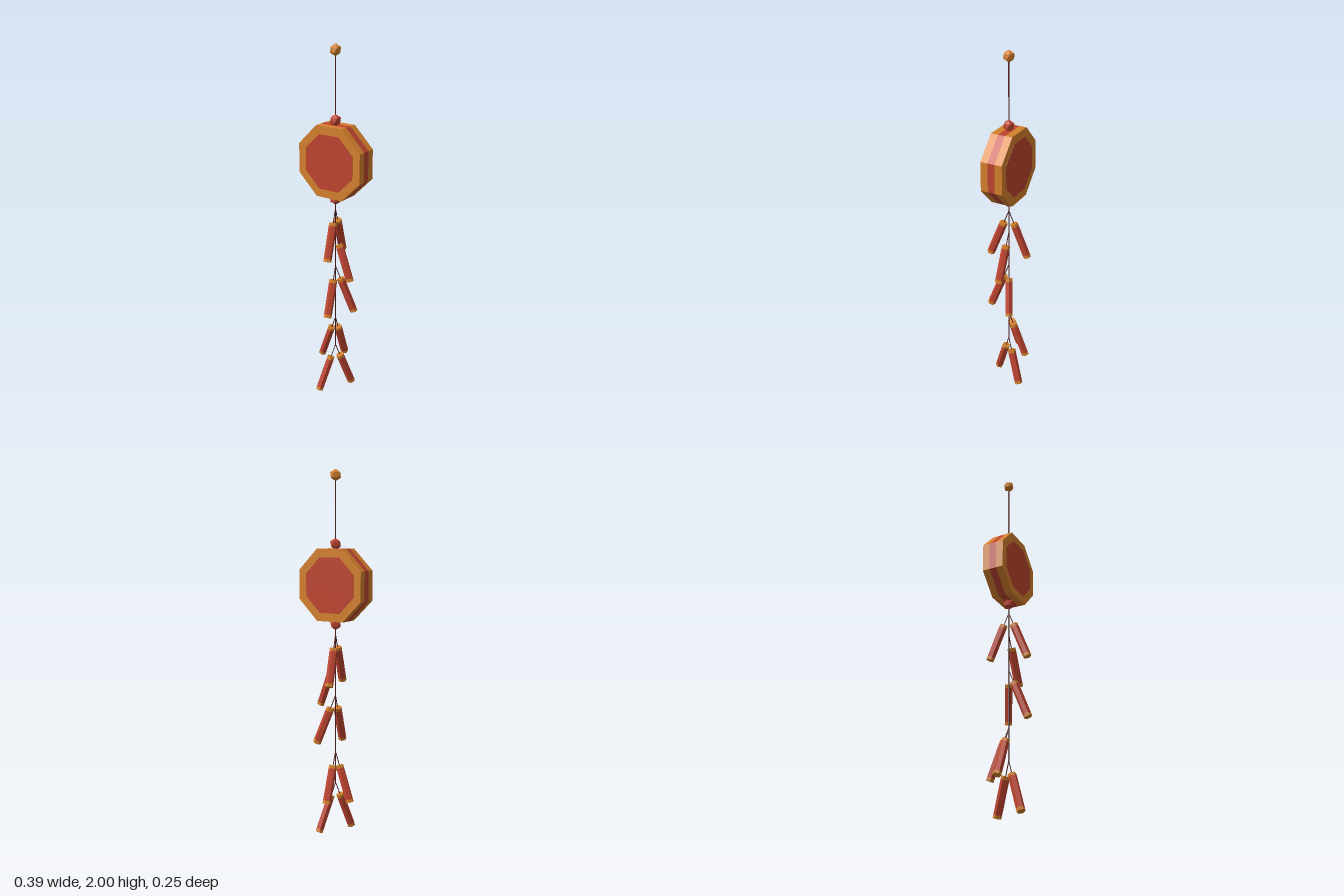
import * as THREE from 'three';

export function createModel() {
  const mat = (name, color) => {
    const m = new THREE.MeshStandardMaterial({ color, flatShading: true });
    m.name = name;
    return m;
  };
  const red = mat('red paper', 0xbe4430);
  const orange = mat('orange gold', 0xd4802d);
  const cord = mat('dark cord', 0x4e1c1c);

  const model = new THREE.Group();
  model.name = 'firecrackerGarland';
  const add = (parent, name, geometry, material, x = 0, y = 0, z = 0) => {
    const mesh = new THREE.Mesh(geometry, material);
    mesh.name = name;
    mesh.position.set(x, y, z);
    parent.add(mesh);
    return mesh;
  };

  // Octagonal disc with flats on top, facing z
  const octagon = (apothem, depth) => {
    const r = apothem / Math.cos(Math.PI / 8);
    return new THREE.CylinderGeometry(r, r, depth, 8)
      .rotateY(Math.PI / 8).rotateX(Math.PI / 2);
  };

  // Drum: two orange rims around a red band, thin red panel on each face
  const drum = new THREE.Group();
  drum.name = 'drum';
  drum.position.y = 1.389;
  model.add(drum);
  add(drum, 'drumBand', octagon(0.194, 0.04), red);
  for (const s of [1, -1]) {
    add(drum, 'drumRim', octagon(0.194, 0.041), orange, 0, 0, s * 0.0405);
    add(drum, 'drumPanel', octagon(0.149, 0.002), red, 0, 0, s * 0.0615);
  }

  // Faceted beads with a corner pointing up
  const beadGeo = new THREE.IcosahedronGeometry(0.032, 0)
    .rotateZ(Math.atan(2 / (1 + Math.sqrt(5))));
  add(model, 'topBead', beadGeo, orange, 0, 1.968, 0);
  add(model, 'upperBead', beadGeo, red, 0, 1.608, 0);
  add(model, 'lowerBead', beadGeo, red, 0, 1.176, 0);

  // Cords above and below the drum
  const cordGeo = (length, r) => new THREE.CylinderGeometry(r, r, length, 6);
  add(model, 'hangingCord', cordGeo(0.37, 0.0035), cord, 0, 1.765, 0);
  add(model, 'lowerCord', cordGeo(0.92, 0.0035), cord, 0, 0.74, 0);

  // Firecracker: hangs from its pivot on a short fuse, leaning outwards
  const FUSE = 0.078, LENGTH = 0.215, CAP = 0.018, R = 0.0225;
  const tubeGeo = new THREE.CylinderGeometry(R, R, LENGTH - 2 * CAP, 6);
  const capGeo = new THREE.CylinderGeometry(R, R, CAP, 6);
  const fuseGeo = cordGeo(FUSE, 0.0025);
  const cracker = (pivotY, x, z) => {
    const g = new THREE.Group();
    g.name = 'firecracker';
    g.position.y = pivotY;
    g.rotation.order = 'YXZ';
    g.rotation.set(-THREE.MathUtils.degToRad(21), Math.atan2(x, z), 0);
    add(g, 'fuse', fuseGeo, cord, 0, -FUSE / 2, 0);
    add(g, 'topCap', capGeo, orange, 0, -FUSE - CAP / 2, 0);
    add(g, 'paperTube', tubeGeo, red, 0, -FUSE - LENGTH / 2, 0);
    add(g, 'bottomCap', capGeo, orange, 0, -FUSE - LENGTH + CAP / 2, 0);
    model.add(g);
  };

  // Pivot height and outward direction (x, z) of each firecracker
  [
    [1.12, 0.02, 0.11], [1.12, -0.025, -0.11],
    [0.99, 0.11, 0.01],
    [0.78, 0.02, 0.11], [0.78, 0.095, -0.05],
    [0.46, -0.11, -0.015], [0.46, -0.008, -0.11],
    [0.281, -0.05, 0.092], [0.281, 0.052, -0.095],
  ].forEach((c) => cracker(...c));

  return model;
}
